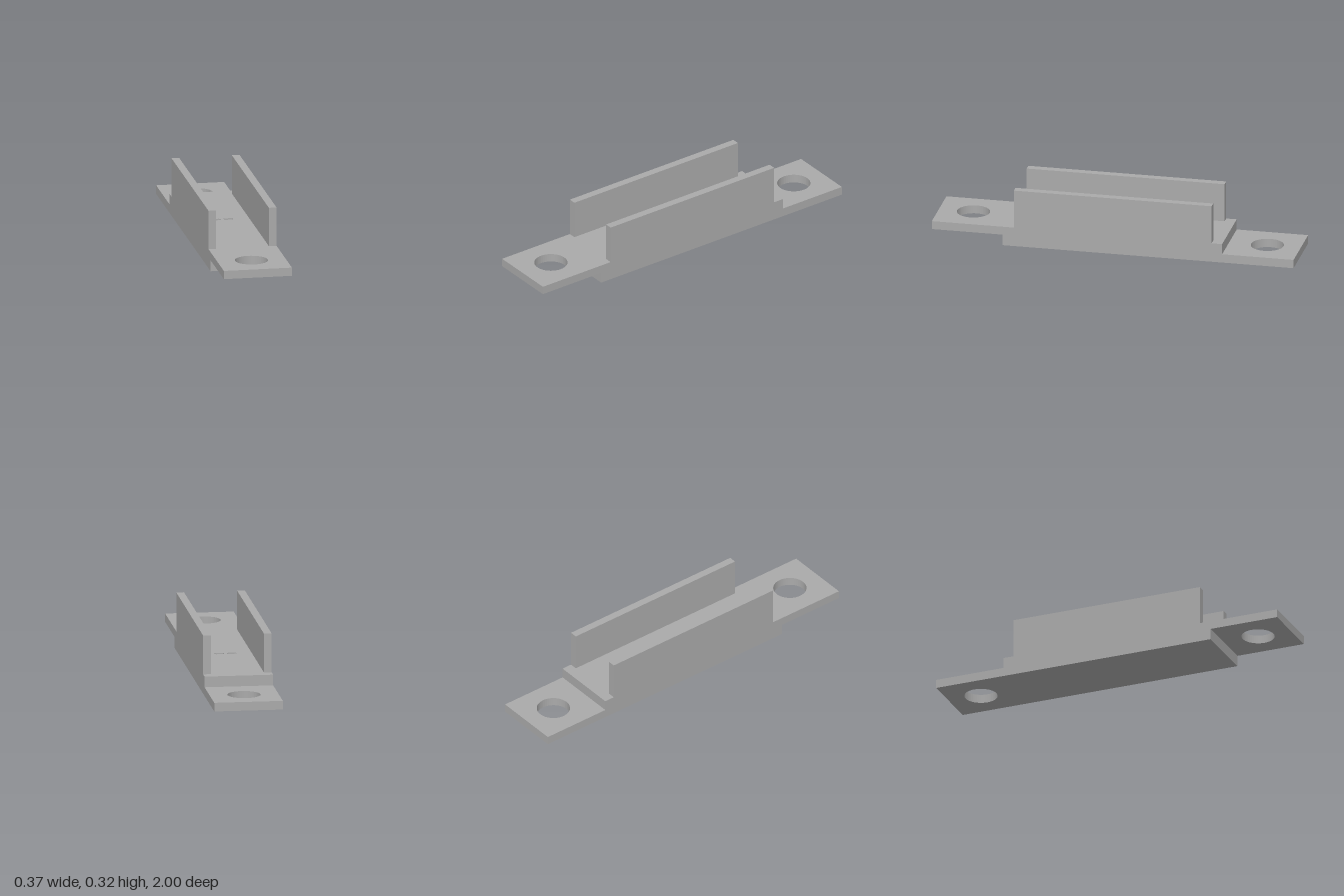
import * as THREE from 'three';

const HALF_W = 0.187;

// Horizontal plate spanning z0..z1 and y0..y1, with hole paths cut straight through.
function plate(name, z0, z1, y0, y1, holes, material) {
  const shape = new THREE.Shape();
  shape.moveTo(-HALF_W, z0);
  shape.lineTo(HALF_W, z0);
  shape.lineTo(HALF_W, z1);
  shape.lineTo(-HALF_W, z1);
  shape.closePath();
  shape.holes.push(...holes);
  const geometry = new THREE.ExtrudeGeometry(shape, { depth: y1 - y0, bevelEnabled: false, curveSegments: 24 });
  geometry.rotateX(Math.PI / 2); // shape y becomes z, depth runs downward
  geometry.translate(0, y1, 0);
  const mesh = new THREE.Mesh(geometry, material);
  mesh.name = name;
  return mesh;
}

function roundHole(z, radius) {
  return new THREE.Path().absarc(0, z, radius, 0, Math.PI * 2, true);
}

// Small slot with rounded corners.
function slot(x0, x1, z0, z1, r) {
  const p = new THREE.Path();
  p.absarc(x0 + r, z0 + r, r, Math.PI, Math.PI * 1.5, false);
  p.absarc(x1 - r, z0 + r, r, Math.PI * 1.5, Math.PI * 2, false);
  p.absarc(x1 - r, z1 - r, r, 0, Math.PI / 2, false);
  p.absarc(x0 + r, z1 - r, r, Math.PI / 2, Math.PI, false);
  p.closePath();
  return p;
}

export function createModel() {
  const group = new THREE.Group();
  group.name = 'mountingChannel';
  const grey = new THREE.MeshStandardMaterial({ color: 0xaaaaaa });
  grey.name = 'plain grey';

  // Stepped base: low tab at the back, raised tab at the front
  group.add(plate('lowerPlateWithBackTab', -1, 0.61, 0, 0.048, [roundHole(-0.815, 0.09)], grey));
  group.add(plate('baseCore', -0.605, 0.61, 0.048, 0.061, [], grey));
  group.add(plate('upperPlateWithFrontTab', -0.605, 1, 0.061, 0.107, [
    roundHole(0.81, 0.09),
    slot(-0.063, -0.012, -0.055, -0.025, 0.01),
    slot(0.006, 0.057, -0.055, -0.025, 0.01),
  ], grey));

  // Side walls of the channel
  for (const side of [-1, 1]) {
    const wall = new THREE.Mesh(new THREE.BoxGeometry(0.042, 0.215, 1.094), grey);
    wall.position.set(side * (HALF_W - 0.021), 0.2145, 0);
    wall.name = side > 0 ? 'leftWall' : 'rightWall';
    group.add(wall);
  }
  return group;
}
